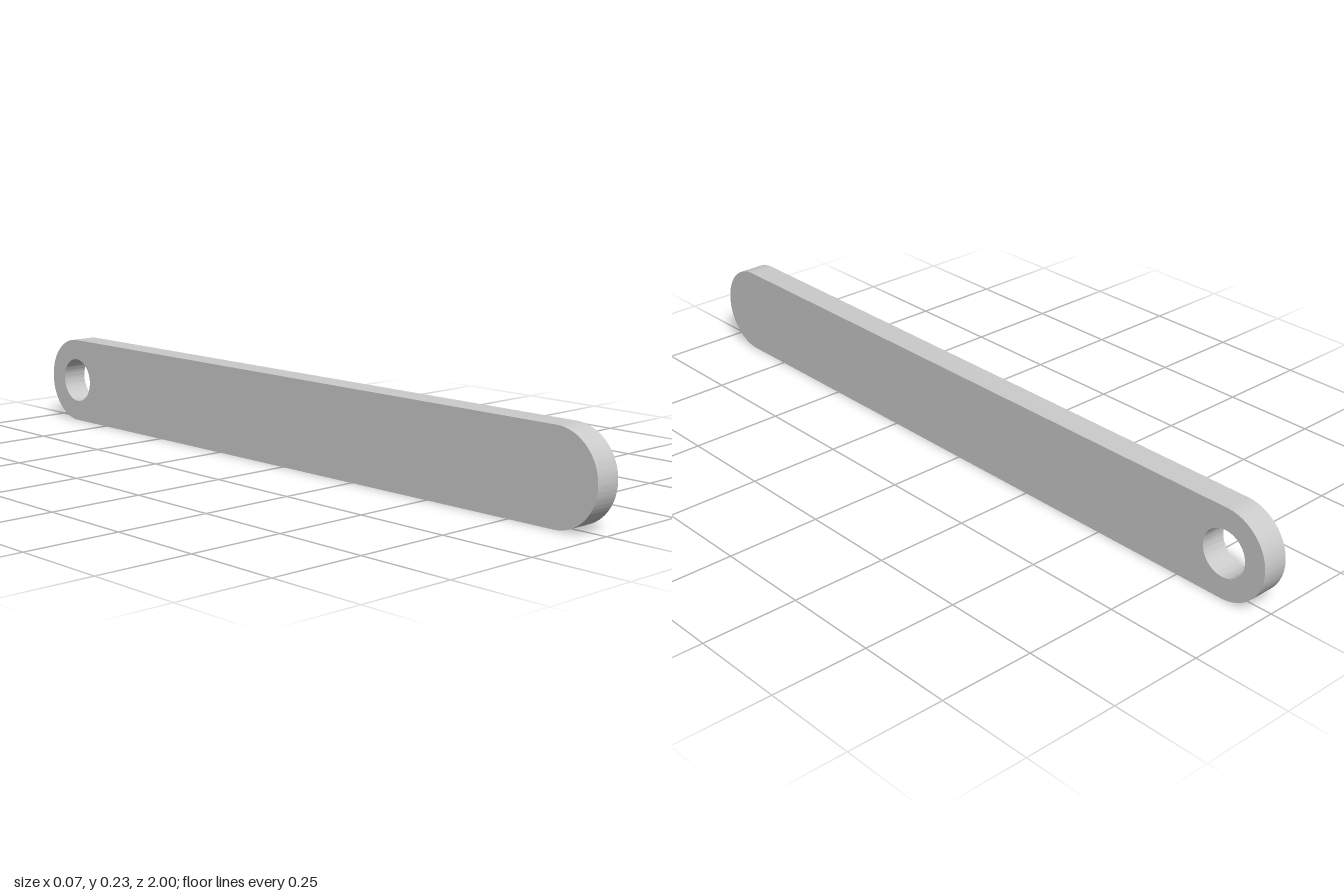
import * as THREE from 'three';
import { toCreasedNormals } from 'three/addons/utils/BufferGeometryUtils.js';

const LENGTH = 2, HEIGHT = 0.235, THICKNESS = 0.07, HOLE_RADIUS = 0.061;

export function createModel() {
  const group = new THREE.Group();
  group.name = 'linkBar';
  const r = HEIGHT / 2;
  const c = LENGTH / 2 - r; // centre of each rounded end

  // Side outline: a bar with two half-round ends
  const outline = new THREE.Shape();
  outline.absarc(c, r, r, -Math.PI / 2, Math.PI / 2, false);
  outline.absarc(-c, r, r, Math.PI / 2, Math.PI * 1.5, false);
  outline.closePath();

  // Pivot hole, concentric with the back end
  const hole = new THREE.Path();
  hole.absarc(c, r, HOLE_RADIUS, 0, Math.PI * 2, true);
  outline.holes.push(hole);

  const extruded = new THREE.ExtrudeGeometry(outline, {
    depth: THICKNESS, bevelEnabled: false, curveSegments: 48,
  });
  extruded.translate(0, 0, -THICKNESS / 2);
  extruded.rotateY(Math.PI / 2); // outline +x becomes -z

  const bar = new THREE.Mesh(
    toCreasedNormals(extruded, Math.PI / 6),
    new THREE.MeshStandardMaterial({ color: 0xcccccc }),
  );
  bar.name = 'bar';
  group.add(bar);
  return group;
}
